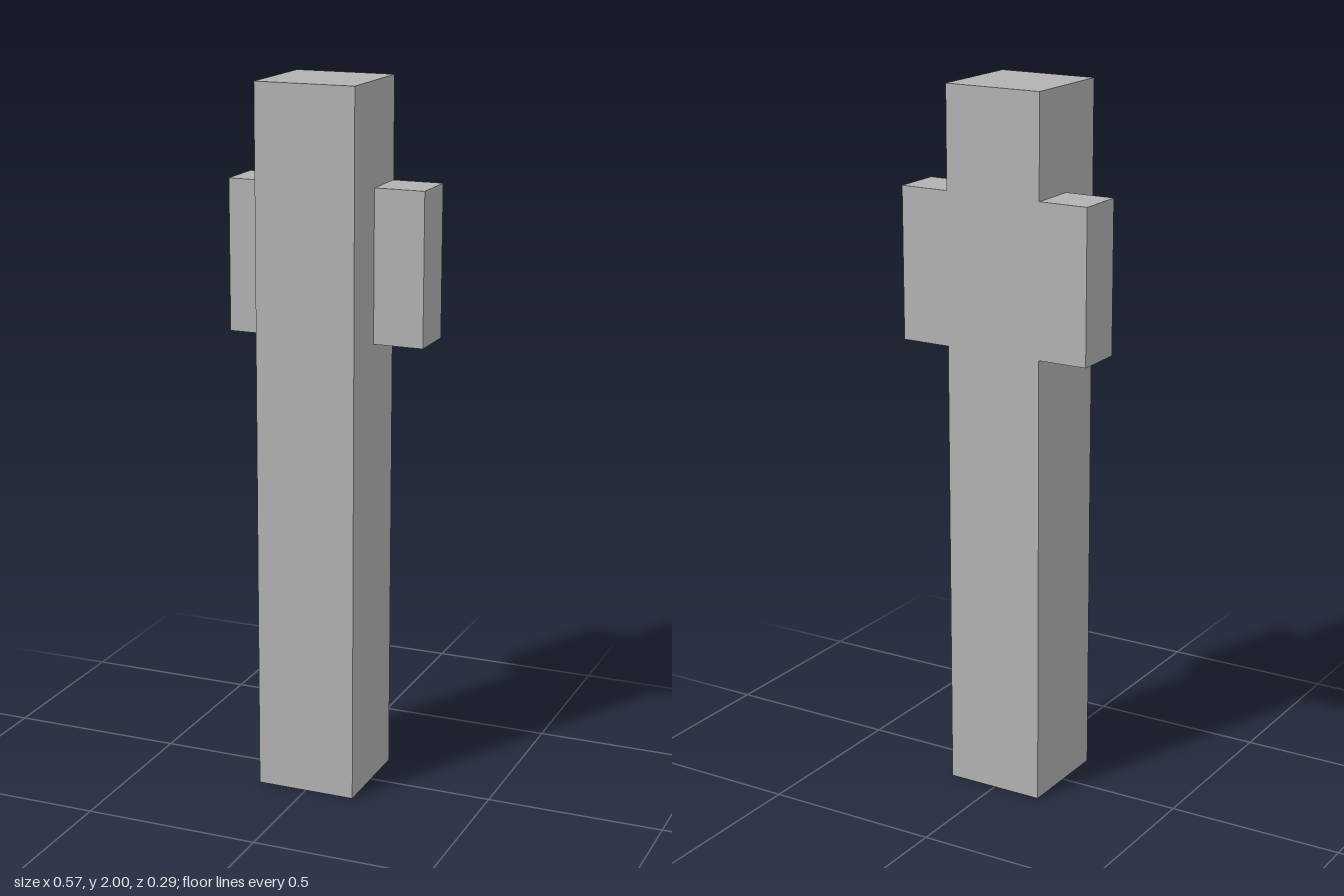
import * as THREE from 'three';

export function createModel() {
  const group = new THREE.Group();
  const grey = new THREE.MeshStandardMaterial({ color: 0xb2b2b2 });
  grey.name = 'grey';
  const u = 2 / 7; // post thickness

  const addBox = (name, w, h, d, x, y, z) => {
    const mesh = new THREE.Mesh(new THREE.BoxGeometry(w, h, d), grey);
    mesh.name = name;
    mesh.position.set(x, y, z);
    group.add(mesh);
  };

  // Square post
  addBox('post', u, 2, u, 0, 1, 0);

  // Side blocks, flush with the back of the post
  for (const [name, side] of [['leftBlock', 1], ['rightBlock', -1]]) {
    addBox(name, u / 2, u * 1.5, u / 2, side * u * 0.75, 1.5, -u / 4);
  }

  return group;
}
